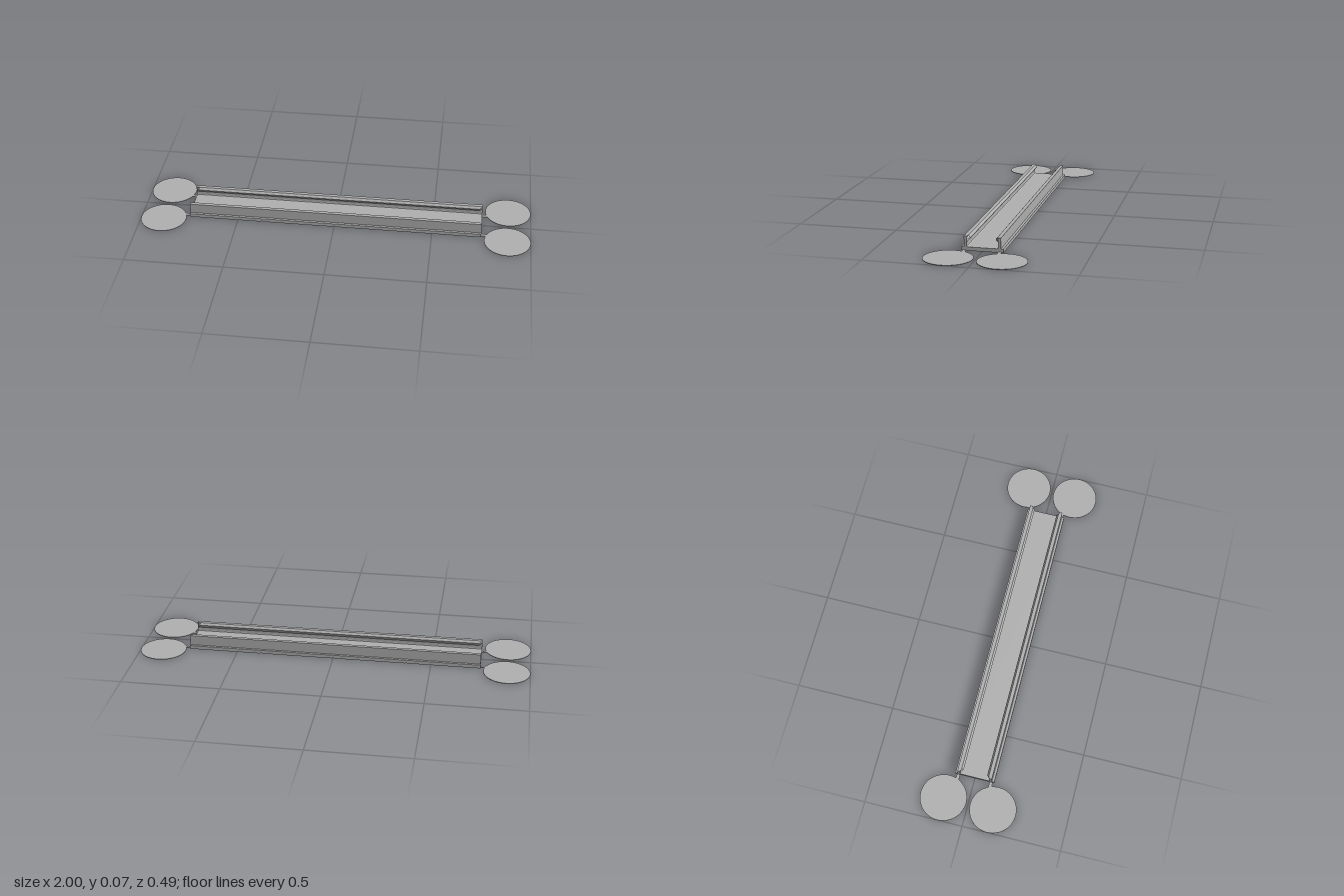
import * as THREE from 'three';

const LENGTH = 1.5, SLAB_TOP = 0.018;

// Upright wall with fillet and inward clip lip; side = +1 or -1 in z
function wallGeometry(side) {
  const profile = [
    [0.088, SLAB_TOP], [0.088, 0.07], [0.07, 0.07], [0.0605, 0.059], [0.0615, 0.055],
    [0.076, 0.04], [0.076, 0.025], [0.0745, 0.021], [0.07, SLAB_TOP],
  ];
  const shape = new THREE.Shape(profile.map(([z, y]) => new THREE.Vector2(-side * z, y)));
  const geo = new THREE.ExtrudeGeometry(shape, { depth: LENGTH, steps: 3, bevelEnabled: false });
  const p = geo.attributes.position;
  const stations = [0, 0.016, LENGTH - 0.016, LENGTH];
  for (let i = 0; i < p.count; i++) {
    const step = Math.round(p.getZ(i) / (LENGTH / 3));
    p.setZ(i, stations[step] - LENGTH / 2);
    // The lip is chamfered back at both ends
    const isEnd = step === 0 || step === 3;
    if (isEnd && p.getY(i) > 0.045 && Math.abs(p.getX(i)) < 0.074) {
      p.setX(i, -side * (p.getY(i) > 0.065 ? 0.074 : 0.0755));
    }
  }
  geo.rotateY(Math.PI / 2);
  geo.computeVertexNormals();
  return geo;
}

// Base slab with shallow cross grooves in the underside
function slabGeometry() {
  const h = LENGTH / 2, w = 0.006, d = 0.004;
  const shape = new THREE.Shape();
  shape.moveTo(-h, 0);
  for (const x of [-0.375, 0, 0.375]) {
    shape.lineTo(x - w, 0);
    shape.lineTo(x - w / 2, d);
    shape.lineTo(x + w / 2, d);
    shape.lineTo(x + w, 0);
  }
  shape.lineTo(h, 0);
  shape.lineTo(h, SLAB_TOP);
  shape.lineTo(-h, SLAB_TOP);
  const geo = new THREE.ExtrudeGeometry(shape, { depth: 0.2, bevelEnabled: false });
  geo.translate(0, 0, -0.1);
  return geo;
}

export function createModel() {
  const model = new THREE.Group();
  model.name = 'clipChannel';
  const grey = new THREE.MeshStandardMaterial({ color: 0xb0b0b0 });
  grey.name = 'plainGrey';

  const add = (name, geo, x = 0, y = 0, z = 0) => {
    const mesh = new THREE.Mesh(geo, grey);
    mesh.name = name;
    mesh.position.set(x, y, z);
    model.add(mesh);
  };

  add('baseSlab', slabGeometry());
  add('frontWall', wallGeometry(1));
  add('backWall', wallGeometry(-1));

  // Thin corner discs, each joined to the channel by a small tab
  const t = 0.003;
  const disc = new THREE.CylinderGeometry(0.117, 0.117, t, 64);
  const tab = new THREE.BoxGeometry(0.04, t, 0.016);
  for (const sx of [-1, 1]) {
    for (const sz of [-1, 1]) {
      const corner = (sz > 0 ? 'front' : 'back') + (sx > 0 ? 'Left' : 'Right');
      add(corner + 'Disc', disc, sx * 0.883, t / 2, sz * 0.127);
      add(corner + 'Tab', tab, sx * 0.767, t / 2, sz * 0.084);
    }
  }
  return model;
}
